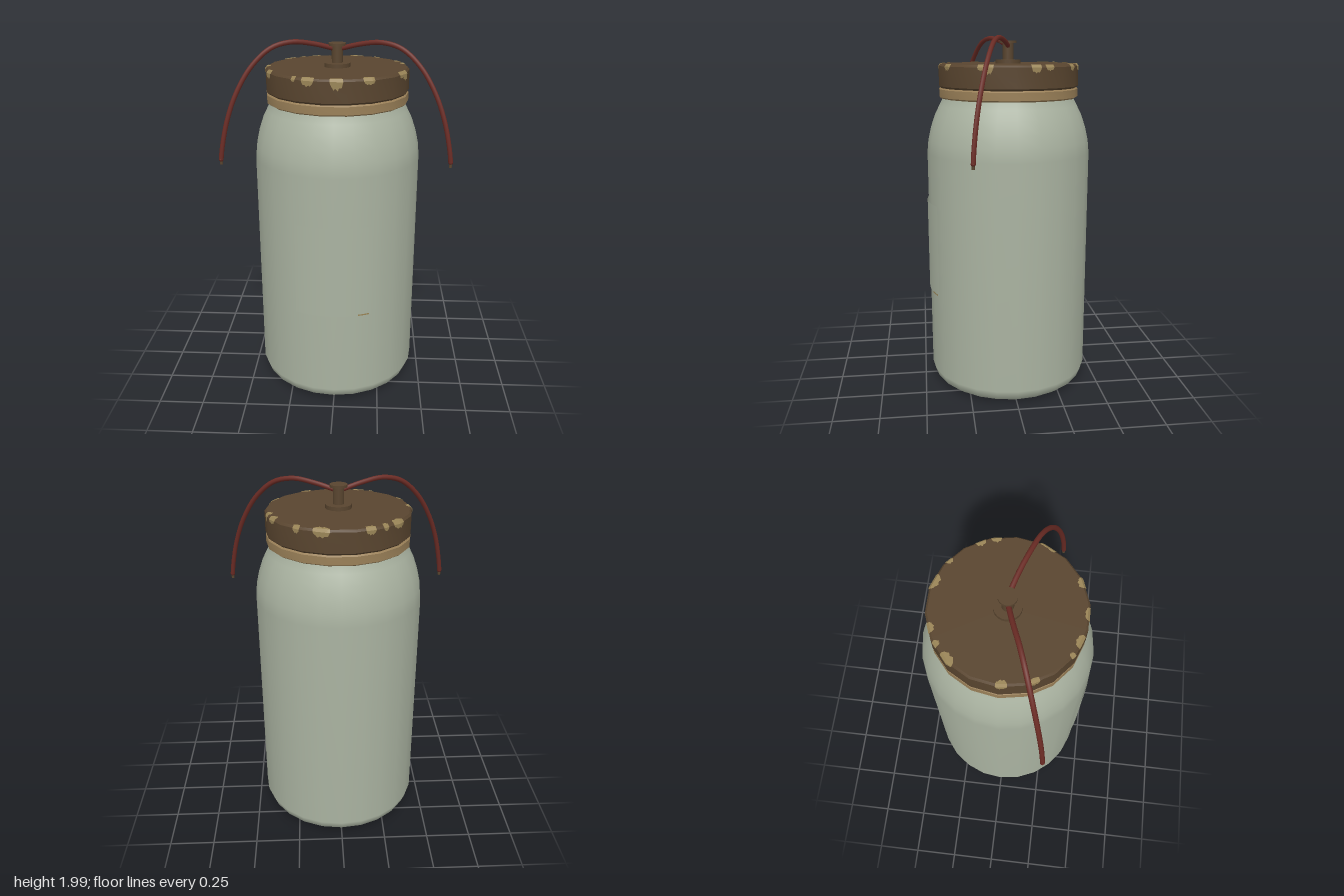
import * as THREE from 'three';
import { mergeGeometries, toCreasedNormals } from 'three/addons/utils/BufferGeometryUtils.js';

const mat = (name, color, side = THREE.FrontSide) =>
  Object.assign(new THREE.MeshStandardMaterial({ color, side }), { name });

const rad = THREE.MathUtils.degToRad;
const LID_R = 0.388, LID_SIDES = 18, LID_TOP = 1.845;

function lathe(points, sides, start = 0) {
  return new THREE.LatheGeometry(points.map(p => new THREE.Vector2(...p)), sides, start);
}

// Distance from the axis to the flat-sided lid wall at an angle
function lidRadius(phi, r) {
  const step = (2 * Math.PI) / LID_SIDES;
  const a = ((phi - rad(10)) % step + step) % step;
  return (r * Math.cos(step / 2)) / Math.cos(a - step / 2);
}

// A worn patch folded over the lid rim: half width in degrees, depth on the wall and on the top
function chip([deg, half, wall, top]) {
  const n = 10, pos = [], idx = [], off = 0.003;
  for (let j = 0; j <= n; j++) {
    const u = (j / n) * 2 - 1, phi = rad(deg + u * half);
    const round = Math.sqrt(Math.max(0, 1 - u * u));
    const w = wall * round * (1 + 0.2 * Math.sin(j * 2.1 + deg));
    const t = top * round * (1 + 0.2 * Math.cos(j * 1.7 + deg));
    const section = [
      [LID_R - 0.01 - t, LID_TOP + off],
      [LID_R - 0.009, LID_TOP + off],
      [LID_R + off, LID_TOP - 0.011],
      [LID_R + off, LID_TOP - 0.012 - w],
    ];
    for (const [r, y] of section) {
      const q = lidRadius(phi, r);
      pos.push(q * Math.sin(phi), y, q * Math.cos(phi));
    }
    if (j < n) for (let i = 0; i < 3; i++) {
      const a = j * 4 + i;
      idx.push(a, a + 1, a + 5, a, a + 5, a + 4);
    }
  }
  const g = new THREE.BufferGeometry();
  g.setAttribute('position', new THREE.Float32BufferAttribute(pos, 3));
  g.setIndex(idx);
  return toCreasedNormals(g, 0.5);
}

export function createModel() {
  const glass = mat('pale green glass', 0xaab3a1);
  const labelMat = mat('label green', 0xaab3a1, THREE.DoubleSide);
  const brown = mat('rusty brown', 0x59452f);
  const tan = mat('tan metal', 0x9a8058);
  const bare = mat('bare metal', 0x9a8557, THREE.DoubleSide);
  const red = mat('wire red', 0x6a2b24);
  const model = new THREE.Group();
  const add = (name, geo, material, y = 0, parent = model) => {
    const m = new THREE.Mesh(geo, material);
    m.name = name;
    m.position.y = y;
    parent.add(m);
    return m;
  };

  // Jar body with rounded foot and shoulder
  add('jar', lathe([
    [0, 0.005], [0.37, 0.005], [0.405, 0.012], [0.437, 0.035], [0.457, 0.085],
    [0.457, 1.36], [0.45, 1.43], [0.434, 1.5], [0.41, 1.57], [0.385, 1.62],
    [0.365, 1.66], [0.355, 1.7],
  ], 24), glass);

  // Screw band under the lid
  add('lidBand', toCreasedNormals(lathe([
    [0.34, 1.665], [0.375, 1.66], [0.387, 1.668], [0.387, 1.71], [0.38, 1.717], [0.34, 1.717],
  ], LID_SIDES, Math.PI / 2), 0.5), tan);

  // Lid with bevelled edges
  add('lid', toCreasedNormals(lathe([
    [0, 1.717], [0.378, 1.717], [LID_R, 1.727], [LID_R, LID_TOP - 0.011],
    [LID_R - 0.01, LID_TOP], [0, LID_TOP],
  ], LID_SIDES, Math.PI / 2), 0.5), brown);

  // Worn patches along the rim
  add('rimWear', mergeGeometries([
    [165, 6.5, 0.025, 0.024], [145, 3, 0.02, 0.016], [117, 4, 0.015, 0.02], [105, 4, 0.025, 0.02],
    [68, 4, 0.03, 0.005], [62, 3, 0.015, 0.008], [27, 4.5, 0.018, 0.02], [2, 5, 0.038, 0.01],
    [-20, 5, 0.025, 0.018], [-32, 2, 0.01, 0.01], [-65, 4, 0.025, 0.008], [-88, 4, 0.02, 0.018],
    [-131, 6, 0.02, 0.024], [-145, 2.5, 0.015, 0.016], [-158, 4, 0.02, 0.018],
  ].map(chip)), bare);

  // Terminal post: base washer, stem and cap
  const post = new THREE.Group();
  post.name = 'terminalPost';
  model.add(post);
  add('washer', new THREE.CylinderGeometry(0.07, 0.07, 0.022, 20), brown, 1.855, post);
  add('stem', new THREE.CylinderGeometry(0.03, 0.03, 0.1, 14), brown, 1.91, post);
  add('cap', new THREE.CylinderGeometry(0.047, 0.047, 0.014, 16), brown, 1.962, post);

  // Two mirrored wires arching out and forward, each with a bare tip
  for (const s of [1, -1]) {
    const path = new THREE.CatmullRomCurve3([
      [0.02, 1.94, 0.002], [0.12, 1.967, 0.034], [0.235, 1.982, 0.078], [0.34, 1.955, 0.117],
      [0.44, 1.865, 0.158], [0.52, 1.73, 0.196], [0.57, 1.59, 0.223], [0.6, 1.45, 0.24],
      [0.608, 1.39, 0.244],
    ].map(([x, y, z]) => new THREE.Vector3(s * x, y, z)));
    const side = s > 0 ? 'left' : 'right';
    add(side + 'Wire', new THREE.TubeGeometry(path, 40, 0.013, 8), red);
    const end = path.getPoint(1);
    add(side + 'WireEnd', new THREE.SphereGeometry(0.013, 8, 6), red).position.copy(end);
    add(side + 'WireTip', new THREE.CylinderGeometry(0.008, 0.008, 0.035, 8), brown)
      .position.set(end.x, end.y - 0.01, end.z);
  }

  // Curved label on the front, slightly tilted, with a worn lower corner
  const sheet = (r, h, from, to) =>
    new THREE.CylinderGeometry(r, r, h, 12, 1, true, rad(from), rad(to - from));
  const label = new THREE.Group();
  label.name = 'label';
  label.position.y = 0.83;
  label.rotation.z = -0.006;
  model.add(label);
  add('labelSheet', sheet(0.464, 0.52, -26.5, 26.5), labelMat, 0, label);
  add('labelCorner', sheet(0.466, 0.008, 17, 25), bare, -0.256, label);

  // Shift everything so the bounds are centred
  for (const part of model.children) part.position.z -= 0.003;
  return model;
}
